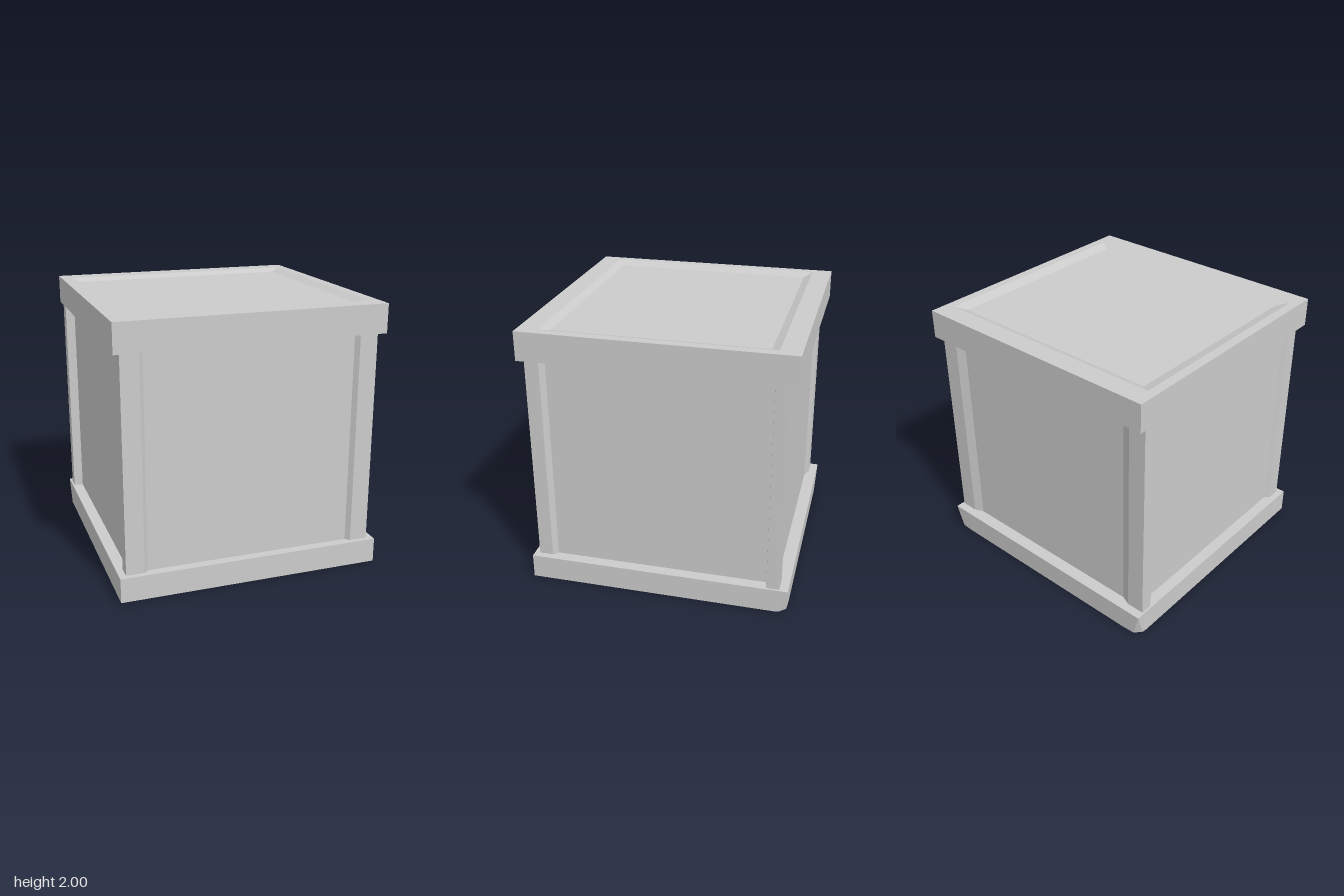
import * as THREE from 'three';

const material = new THREE.MeshStandardMaterial({ color: 0xcccccc, flatShading: true });

// Mirrors a right-hand list of [x, z] points (front to back) into a full loop.
const mirror = (half) => [...half, ...half.slice().reverse().map(([x, z]) => [-x, z])];

// Skins a stack of rings, each { y, pts }, and caps both ends with fans.
function loft(rings) {
  const pos = [];
  const v = (r, j) => [r.pts[j % r.pts.length][0], r.y, r.pts[j % r.pts.length][1]];
  const tri = (a, b, c) => pos.push(...a, ...b, ...c);
  const n = rings[0].pts.length;
  for (let i = 0; i < rings.length - 1; i++) {
    const lo = rings[i], hi = rings[i + 1];
    for (let j = 0; j < n; j++) {
      tri(v(lo, j), v(lo, j + 1), v(hi, j + 1));
      tri(v(lo, j), v(hi, j + 1), v(hi, j));
    }
  }
  const first = rings[0], last = rings[rings.length - 1];
  for (let j = 1; j < n - 1; j++) {
    tri(v(first, 0), v(first, j + 1), v(first, j));
    tri(v(last, 0), v(last, j), v(last, j + 1));
  }
  const geo = new THREE.BufferGeometry();
  geo.setAttribute('position', new THREE.Float32BufferAttribute(pos, 3));
  geo.computeVertexNormals();
  return geo;
}

export function createModel() {
  const group = new THREE.Group();
  const add = (name, geometry) => {
    const mesh = new THREE.Mesh(geometry, material);
    mesh.name = name;
    group.add(mesh);
  };

  // Base: a plinth hollowed from below, with both rear lower corners clipped
  const baseTop = mirror([[0.99, 0.98], [0.99, -0.89], [0.99, -0.98], [0.99, -0.98], [0.84, -0.98]]);
  const baseBottom = mirror([[0.99, 0.98], [0.99, -0.89], [0.985, -0.92], [0.94, -0.97], [0.84, -0.975]]);
  const hollow = baseTop.map(([x, z]) => [Math.sign(x) * 0.763, Math.sign(z) * 0.81]);
  add('base', loft([
    { y: 0.17, pts: hollow },
    { y: 0, pts: hollow },
    { y: 0, pts: baseBottom },
    { y: 0.185, pts: baseTop },
  ]));

  // Body: corner posts with sloped edges leading to sunken panels on all sides
  const plan = mirror([
    [0.775, 0.91], [0.805, 0.94], [0.94, 0.94], [0.94, 0.835], [0.905, 0.80],
    [0.905, -0.81], [0.975, -0.82], [0.975, -0.915], [0.84, -0.915], [0.77, -0.885],
  ]);
  const shape = new THREE.Shape(plan.map(([x, z]) => new THREE.Vector2(x, -z)));
  const body = new THREE.ExtrudeGeometry(shape, { depth: 1.6, bevelEnabled: false });
  body.rotateX(-Math.PI / 2).translate(0, 0.185, 0);
  add('panelledBody', body);

  // Lid: a slab with a shallow dished top
  const rect = (x, z) => mirror([[x, z], [x, -z]]);
  add('lid', loft([
    { y: 1.785, pts: rect(0.99, 0.98) },
    { y: 2, pts: rect(0.99, 0.98) },
    { y: 2, pts: rect(0.92, 0.83) },
    { y: 1.975, pts: rect(0.84, 0.77) },
  ]));

  return group;
}
